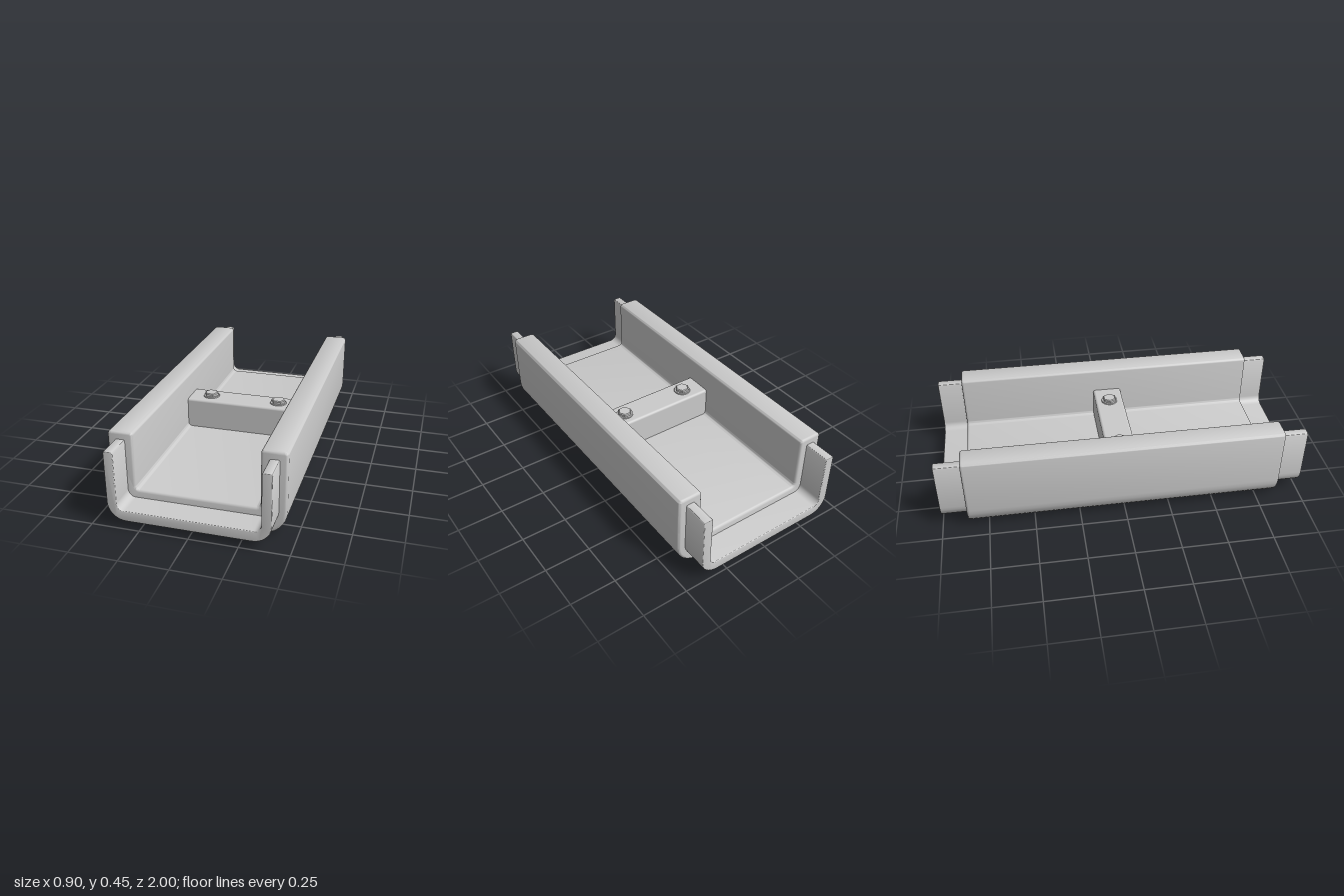
import * as THREE from 'three';
import { toCreasedNormals } from 'three/addons/utils/BufferGeometryUtils.js';
import { RoundedBoxGeometry } from 'three/addons/geometries/RoundedBoxGeometry.js';

const material = new THREE.MeshStandardMaterial({ color: 0xcccccc });

function addMesh(parent, name, geometry, x = 0, y = 0, z = 0) {
  const mesh = new THREE.Mesh(geometry, material);
  mesh.name = name;
  mesh.position.set(x, y, z);
  parent.add(mesh);
  return mesh;
}

// U-shaped channel extruded along z, with softened end edges
function channel({ half, bottom, top, wall, floor, outerR, innerR, tipR, length, bevel }) {
  const q = Math.PI / 2;
  const inner = half - wall - innerR;
  const s = new THREE.Shape();
  s.moveTo(-half + outerR, bottom);
  s.absarc(half - outerR, bottom + outerR, outerR, -q, 0);
  s.absarc(half - tipR, top - tipR, tipR, 0, q);
  s.absarc(half - wall + tipR, top - tipR, tipR, q, 2 * q);
  s.absarc(inner, bottom + floor + innerR, innerR, 0, -q, true);
  s.absarc(-inner, bottom + floor + innerR, innerR, -q, -2 * q, true);
  s.absarc(-half + wall - tipR, top - tipR, tipR, 0, q);
  s.absarc(-half + tipR, top - tipR, tipR, q, 2 * q);
  s.absarc(-half + outerR, bottom + outerR, outerR, 2 * q, 3 * q);
  const depth = length - 2 * bevel;
  const geometry = new THREE.ExtrudeGeometry(s, {
    depth, curveSegments: 4, bevelEnabled: true, bevelSize: bevel,
    bevelThickness: bevel, bevelOffset: -bevel, bevelSegments: 3,
  });
  geometry.translate(0, 0, -depth / 2);
  return toCreasedNormals(geometry, 0.7);
}

export function createModel() {
  const model = new THREE.Group();
  model.name = 'channelSection';

  // Thick outer trough
  addMesh(model, 'outerChannel', channel({
    half: 0.45, bottom: 0, top: 0.453, wall: 0.132, floor: 0.143,
    outerR: 0.135, innerR: 0.02, tipR: 0.02, length: 1.72, bevel: 0.014,
  }));

  // Thin core protruding at both ends
  addMesh(model, 'innerChannel', channel({
    half: 0.41, bottom: 0.045, top: 0.412, wall: 0.05, floor: 0.055,
    outerR: 0.095, innerR: 0.04, tipR: 0.009, length: 2, bevel: 0.004,
  }));

  // Cross bar between the walls
  addMesh(model, 'crossBar', new RoundedBoxGeometry(0.66, 0.19, 0.165, 3, 0.014), 0, 0.218, 0);

  // Hex bolts with washers
  for (const side of [-1, 1]) {
    const bolt = new THREE.Group();
    bolt.name = side > 0 ? 'leftBolt' : 'rightBolt';
    bolt.position.set(side * 0.2, 0.313, 0);
    model.add(bolt);
    addMesh(bolt, 'washer', new THREE.CylinderGeometry(0.046, 0.048, 0.008, 16), 0, 0.002, 0);
    const head = toCreasedNormals(new THREE.CylinderGeometry(0.04, 0.04, 0.013, 6), 0.5);
    const cap = toCreasedNormals(new THREE.CylinderGeometry(0.035, 0.04, 0.005, 6), 0.5);
    addMesh(bolt, 'boltHead', head, 0, 0.0115, 0).rotation.y = Math.PI / 6;
    addMesh(bolt, 'boltHeadChamfer', cap, 0, 0.0205, 0).rotation.y = Math.PI / 6;
  }
  return model;
}
